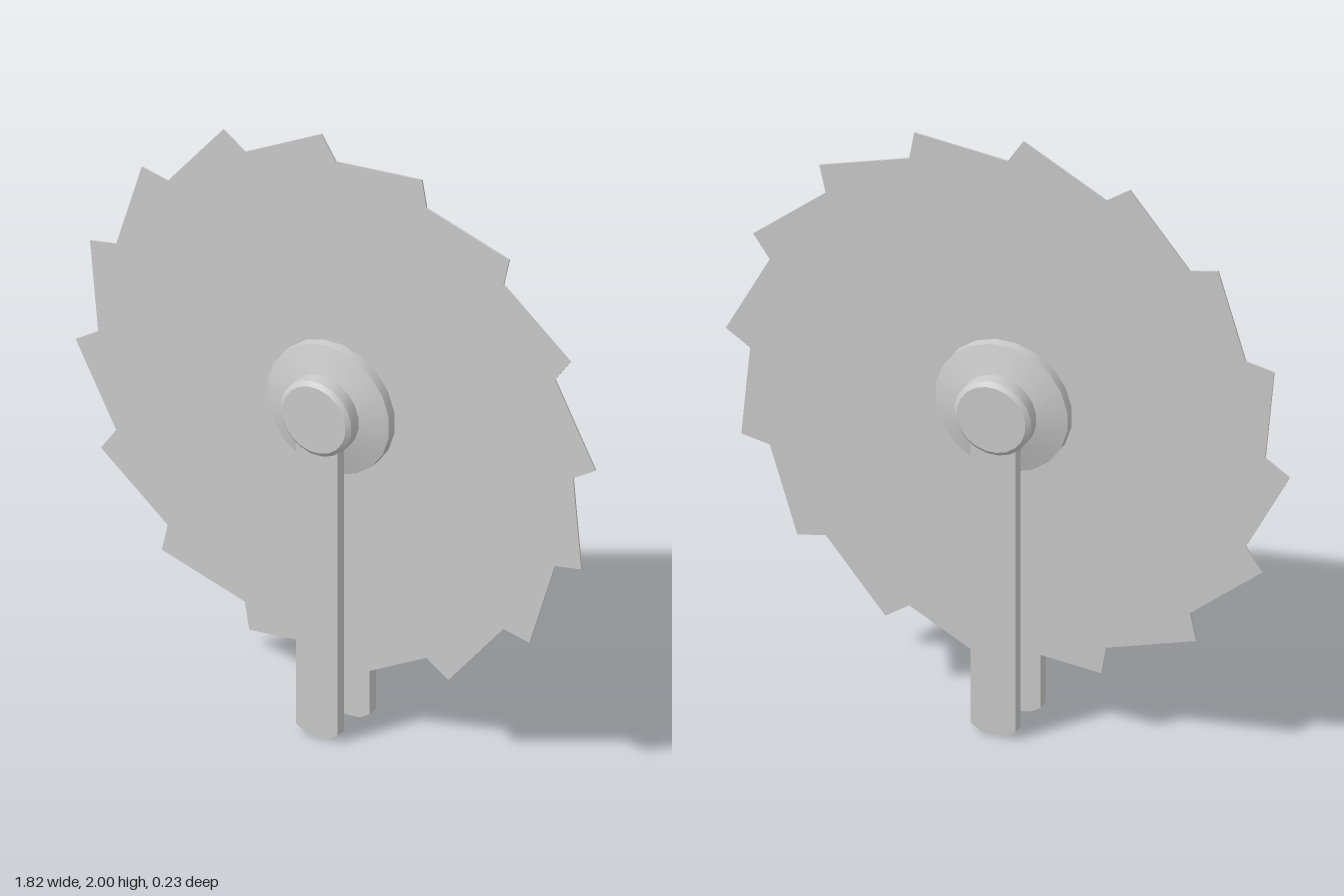
import * as THREE from 'three';
import { toCreasedNormals } from 'three/addons/utils/BufferGeometryUtils.js';

const AXLE_Y = 1.09;

export function createModel() {
  const group = new THREE.Group();
  const material = new THREE.MeshStandardMaterial({ color: 0xcccccc });

  const add = (parent, name, geometry) => {
    const mesh = new THREE.Mesh(geometry, material);
    mesh.name = name;
    parent.add(mesh);
    return mesh;
  };

  // Thin saw blade: each tooth has a short steep edge and a long sloping edge
  const teeth = 16, tipRadius = 0.912, rootRadius = 0.832, lead = 0.055;
  const outline = [];
  for (let i = 0; i < teeth; i++) {
    const a = Math.PI / 2 + (i / teeth) * Math.PI * 2;
    outline.push(new THREE.Vector2(Math.cos(a) * rootRadius, Math.sin(a) * rootRadius));
    outline.push(new THREE.Vector2(Math.cos(a + lead) * tipRadius, Math.sin(a + lead) * tipRadius));
  }
  const thickness = 0.005;
  const blade = add(group, 'blade', new THREE.ExtrudeGeometry(
    new THREE.Shape(outline), { depth: thickness, bevelEnabled: false }));
  blade.position.set(0, AXLE_Y, -thickness / 2);

  // Flange and boss turned around the axle, from the blade outward
  const hubProfile = [
    [0, 0], [0.215, 0], [0.215, 0.035], [0.125, 0.062],
    [0.125, 0.103], [0.111, 0.114], [0, 0.114],
  ].map(([r, z]) => new THREE.Vector2(r, z));
  const hubGeometry = toCreasedNormals(
    new THREE.LatheGeometry(hubProfile, 20, Math.PI / 20).rotateX(Math.PI / 2), 0.4);

  // Support post with a blunt rounded foot; its top ends inside the boss
  const w = 0.073;
  const postShape = new THREE.Shape([
    [-w, AXLE_Y], [-w, 0.025], [-0.04, 0.004], [0, 0],
    [0.04, 0.004], [w, 0.025], [w, AXLE_Y],
  ].map(([x, y]) => new THREE.Vector2(x, y)));
  const postGeometry = new THREE.ExtrudeGeometry(postShape, { depth: 0.037, bevelEnabled: false });

  // The same half mount on the front and, turned around, on the back
  for (const [name, turn] of [['frontMount', 0], ['backMount', Math.PI]]) {
    const mount = new THREE.Group();
    mount.name = name;
    mount.rotation.y = turn;
    add(mount, 'hub', hubGeometry).position.set(-0.006, AXLE_Y, 0);
    add(mount, 'post', postGeometry).position.set(-0.006, 0, 0.062);
    group.add(mount);
  }

  return group;
}
